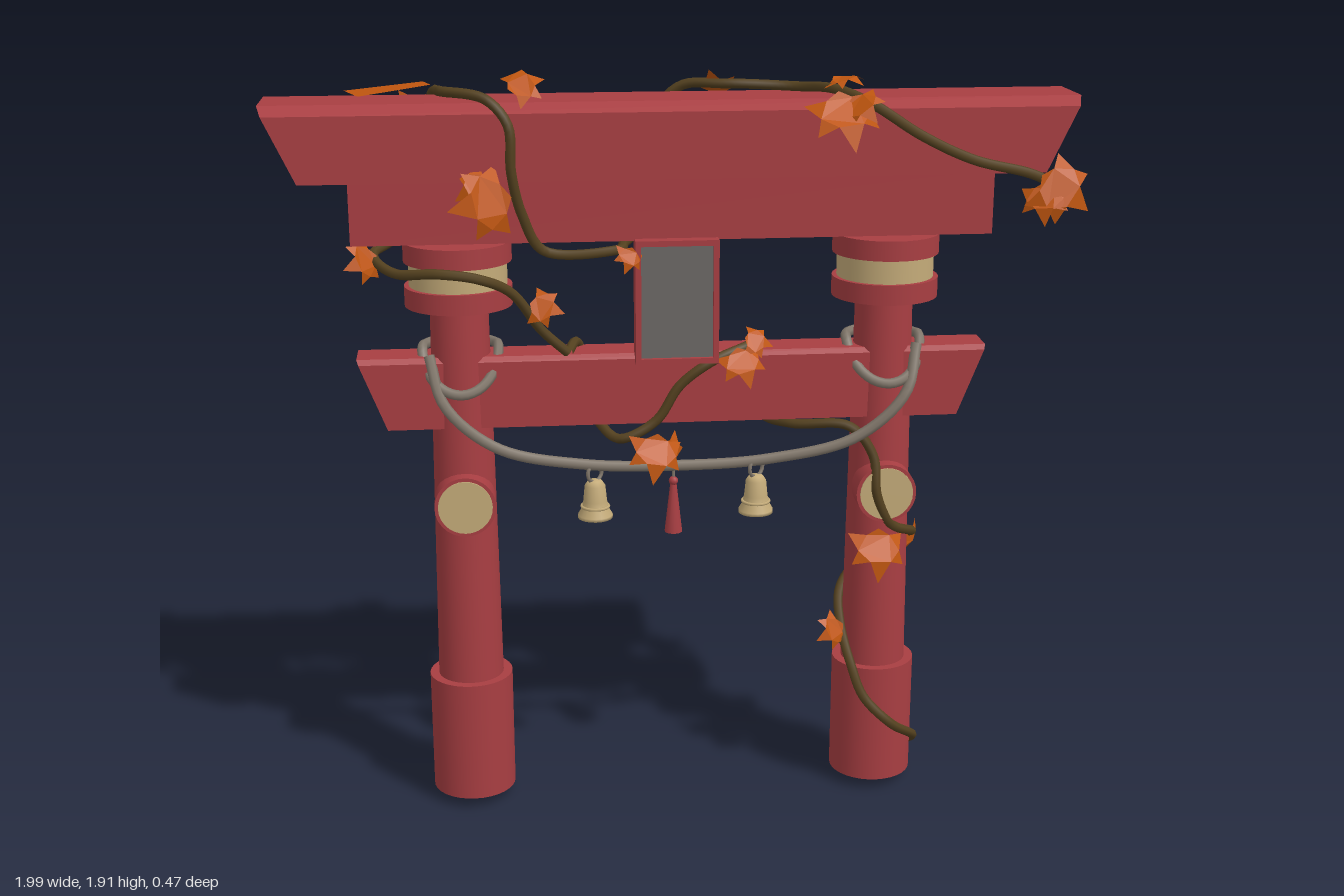
import * as THREE from 'three';

const CX = -0.0175, CZ = 0.0125; // centre of the timber frame
const mat = (name, color, side = THREE.FrontSide) => {
  const m = new THREE.MeshStandardMaterial({ color, side });
  m.name = name;
  return m;
};

export function createModel() {
  const red = mat('red lacquer', 0xa83e42);
  const gold = mat('pale gold', 0xc4ab79);
  const grey = mat('grey slate', 0x6c6866);
  const ropeMat = mat('grey rope', 0x80766a);
  const bark = mat('vine bark', 0x54411f);
  const orange = mat('autumn leaf', 0xc0560f, THREE.DoubleSide);

  const root = new THREE.Group();
  root.name = 'gateway';
  const add = (name, geo, material, x = 0, y = 0, z = 0, parent = root) => {
    const m = new THREE.Mesh(geo, material);
    m.name = name;
    m.position.set(x, y, z);
    parent.add(m);
    return m;
  };
  const V = p => new THREE.Vector3(...p);
  const tube = (name, pts, r, material, segs, closed = false) =>
    add(name, new THREE.TubeGeometry(new THREE.CatmullRomCurve3(pts.map(V), closed), segs, r, 7, closed), material);

  // Beam along x: chamfered cross-section, ends slanting from bottom to top half-length
  function beam(name, y0, y1, halfZ, bottomX, topX, cz, cy) {
    const s = new THREE.Shape([
      [-halfZ, y0], [halfZ, y0], [halfZ, y1 - cy], [halfZ - cz, y1], [cz - halfZ, y1], [-halfZ, y1 - cy],
    ].map(p => new THREE.Vector2(...p)));
    const g = new THREE.ExtrudeGeometry(s, { depth: 2, bevelEnabled: false });
    g.translate(0, 0, -1).rotateY(Math.PI / 2);
    const p = g.attributes.position;
    for (let i = 0; i < p.count; i++) {
      const t = (p.getY(i) - y0) / (y1 - y0);
      p.setX(i, p.getX(i) * THREE.MathUtils.lerp(bottomX, topX, t));
    }
    g.computeVertexNormals();
    add(name, g, red, CX, 0, CZ);
  }
  beam('topBeam', 1.655, 1.837, 0.118, 0.9, 0.985, 0.035, 0.022);
  beam('upperTieBeam', 1.495, 1.655, 0.06, 0.787, 0.787, 0.001, 0.001);
  beam('lowerTieBeam', 1.03, 1.21, 0.06, 0.717, 0.787, 0.012, 0.012);

  // Columns with base, capital rings, medallion and rope loop
  for (const side of [-1, 1]) {
    const x = CX + side * 0.5325;
    const cyl = (name, rTop, rBottom, y0, y1, m) =>
      add(name, new THREE.CylinderGeometry(rTop, rBottom, y1 - y0, 32), m, x, (y0 + y1) / 2, CZ);
    cyl('columnBase', 0.107, 0.107, 0.03, 0.35, red);
    cyl('columnShaft', 0.072, 0.084, 0.35, 1.34, red);
    cyl('capitalLowerRing', 0.133, 0.133, 1.335, 1.385, red);
    cyl('capitalBand', 0.121, 0.121, 1.385, 1.445, gold);
    cyl('capitalUpperRing', 0.133, 0.133, 1.445, 1.495, red);

    const disc = (name, r, depth, z, m) =>
      add(name, new THREE.CylinderGeometry(r, r, depth, 28).rotateX(Math.PI / 2), m, x, 0.84, z);
    disc('medallionRim', 0.077, 0.07, 0.09, red);
    disc('medallionFace', 0.068, 0.008, 0.125, gold);

    const loop = [];
    for (let i = 0; i < 16; i++) {
      const a = (i / 16) * Math.PI * 2, c = Math.cos(a);
      loop.push([x + 0.094 * Math.sin(a), 1.225 - 0.1 * Math.max(0, c), CZ + 0.094 * c]);
    }
    tube('columnRopeLoop', loop, 0.013, ropeMat, 48, true);
  }

  // Hanging rope
  const half = [[0.61, 1.215, 0.06], [0.575, 1.1, 0.112], [0.45, 0.99, 0.118], [0.235, 0.937, 0.105]];
  tube('hangingRope', [
    ...half.map(([x, y, z]) => [CX - x, y, z]), [CX, 0.925, 0.1],
    ...half.map(([x, y, z]) => [CX + x, y, z]).reverse(),
  ], 0.014, ropeMat, 64);

  // Bells on rings
  const bellProfile = [[0, 0.1], [0.017, 0.098], [0.026, 0.085], [0.03, 0.045], [0.034, 0.025],
    [0.044, 0.008], [0.044, 0], [0.036, 0], [0, 0.03]].reverse().map(p => new THREE.Vector2(...p));
  for (const x of [-0.225, 0.183]) {
    const bell = new THREE.Group();
    bell.name = 'bell';
    bell.position.set(x, 0.795, 0.1);
    root.add(bell);
    add('bellBody', new THREE.LatheGeometry(bellProfile, 20), gold, 0, 0, 0, bell);
    add('bellBand', new THREE.TorusGeometry(0.034, 0.004, 6, 20).rotateX(Math.PI / 2), gold, 0, 0.03, 0, bell);
    add('bellClapper', new THREE.SphereGeometry(0.012, 10, 8), gold, 0, 0.003, 0, bell);
    add('bellRing', new THREE.TorusGeometry(0.024, 0.005, 6, 16).rotateY(0.7), ropeMat, 0, 0.118, 0, bell);
  }
  // Tassel
  add('tasselCord', new THREE.CylinderGeometry(0.004, 0.004, 0.05, 6), ropeMat, -0.027, 0.91, 0.1);
  add('tasselKnot', new THREE.SphereGeometry(0.012, 10, 8), red, -0.027, 0.885, 0.1);
  add('tasselSkirt', new THREE.CylinderGeometry(0.008, 0.023, 0.13, 10), red, -0.027, 0.815, 0.1);

  // Framed sign hanging between the tie beams
  const sx = -0.017, sy = 1.345, sz = 0.07;
  add('signBoard', new THREE.BoxGeometry(0.2, 0.305, 0.04), red, sx, sy, sz);
  add('signPanel', new THREE.BoxGeometry(0.178, 0.283, 0.006), grey, sx, sy, sz + 0.021);
  for (const s of [-1, 1]) {
    add('signFrameSide', new THREE.BoxGeometry(0.014, 0.31, 0.06), red, sx + s * 0.096, sy, sz + 0.006);
    add('signFrameRail', new THREE.BoxGeometry(0.2, 0.014, 0.06), red, sx, sy + s * 0.148, sz + 0.006);
  }

  // Vine over the top beam, around the left capital and down to the lower beam
  tube('upperVine', [
    [0.92, 1.62, 0.14], [0.84, 1.655, 0.142], [0.7, 1.69, 0.142], [0.57, 1.75, 0.142], [0.45, 1.825, 0.13],
    [0.37, 1.855, 0.06], [0.29, 1.85, -0.04], [0.12, 1.855, -0.07], [0.01, 1.845, -0.11],
    [-0.06, 1.76, -0.125], [-0.09, 1.62, -0.12], [-0.11, 1.49, -0.07], [-0.14, 1.475, 0.0],
    [-0.16, 1.475, 0.08], [-0.34, 1.48, 0.1], [-0.39, 1.57, 0.12], [-0.415, 1.68, 0.143],
    [-0.42, 1.79, 0.143], [-0.47, 1.848, 0.12], [-0.57, 1.86, 0.06], [-0.58, 1.85, -0.03],
    [-0.6, 1.835, -0.11], [-0.62, 1.74, -0.125], [-0.65, 1.62, -0.12], [-0.7, 1.49, -0.08],
    [-0.755, 1.46, 0.0], [-0.7, 1.43, 0.09], [-0.6, 1.44, 0.15], [-0.5, 1.425, 0.15],
    [-0.42, 1.38, 0.11], [-0.35, 1.28, 0.08], [-0.285, 1.215, 0.06],
  ], 0.0125, bark, 220);

  // Vine around the lower beam and down the left column
  tube('lowerVine', [
    [-0.285, 1.215, 0.06], [-0.26, 1.222, -0.02], [-0.24, 1.16, -0.062], [-0.22, 1.04, -0.06],
    [-0.2, 1.012, 0.03], [-0.16, 0.995, 0.085], [-0.07, 1.04, 0.088], [-0.01, 1.13, 0.088],
    [0.07, 1.19, 0.088], [0.17, 1.222, 0.05], [0.2, 1.218, -0.04], [0.21, 1.12, -0.062],
    [0.21, 1.02, -0.04], [0.28, 1.012, 0.05], [0.42, 1.015, 0.1], [0.48, 0.94, 0.115],
    [0.49, 0.84, 0.13], [0.53, 0.755, 0.115], [0.595, 0.715, 0.06], [0.607, 0.68, -0.02],
    [0.56, 0.62, -0.08], [0.48, 0.57, -0.08], [0.425, 0.525, -0.01], [0.42, 0.45, 0.05],
    [0.44, 0.36, 0.105], [0.47, 0.28, 0.128], [0.545, 0.2, 0.13], [0.61, 0.145, 0.08],
    [0.63, 0.1, 0.01], [0.6, 0.04, -0.08], [0.53, 0.013, -0.12],
  ], 0.0125, bark, 220);

  // Folded, lobed leaf one unit long, hanging from its stem
  const leafShape = new THREE.Shape([
    [0, 0], [0.22, -0.12], [0.52, -0.1], [0.4, -0.4], [0.5, -0.66], [0.2, -0.6], [0, -1],
    [-0.2, -0.6], [-0.5, -0.66], [-0.4, -0.4], [-0.52, -0.1], [-0.22, -0.12],
  ].map(p => new THREE.Vector2(...p)));
  const leafGeo = new THREE.ShapeGeometry(leafShape);
  const lp = leafGeo.attributes.position;
  for (let i = 0; i < lp.count; i++) {
    lp.setZ(i, 0.12 - 0.5 * Math.abs(lp.getX(i)) + 0.25 * Math.sin(-lp.getY(i) * 3));
  }
  const foldedLeaf = leafGeo.toNonIndexed();
  foldedLeaf.computeVertexNormals();

  // x, y, z, size, rotations about x, y, z
  for (const [x, y, z, s, rx, ry, rz] of [
    [-0.42, 1.86, 0.1, 0.1, -0.9, 0.3, 1.8],
    [-0.62, 1.84, -0.12, 0.12, 0.5, 0.4, -0.2],
    [-0.42, 1.62, 0.14, 0.16, -0.2, 0.2, -1.4],
    [-0.46, 1.66, 0.14, 0.1, -0.3, -0.3, -1.0],
    [-0.75, 1.46, 0.02, 0.1, -0.3, 0.5, -1.3],
    [-0.38, 1.35, 0.1, 0.09, -0.4, 0.2, 1.2],
    [-0.13, 1.485, 0.1, 0.07, -0.2, 0.3, -0.4],
    [0.05, 1.86, -0.11, 0.12, 1.2, 0.3, 1.6],
    [0.36, 1.85, 0.12, 0.16, -0.5, 0.2, 0.1],
    [0.4, 1.84, 0.13, 0.1, -0.6, -0.4, 0.8],
    [0.37, 1.87, 0.02, 0.09, -1.3, 0.2, 0.6],
    [0.86, 1.65, 0.14, 0.15, -0.2, 0.2, 0.9],
    [0.88, 1.63, 0.13, 0.11, -0.3, -0.4, 0.1],
    [0.13, 1.22, 0.08, 0.11, -0.4, 0.2, 0.2],
    [0.15, 1.24, 0.07, 0.08, -0.6, 0.5, 1.1],
    [-0.07, 1.01, 0.1, 0.13, -0.3, 0.2, -0.2],
    [-0.06, 0.99, 0.09, 0.1, 0.3, 0.6, 0.5],
    [0.49, 0.75, 0.13, 0.14, -0.25, 0.2, -0.1],
    [0.6, 0.71, 0.0, 0.09, 0.4, 0.8, 0.2],
    [0.42, 0.46, 0.06, 0.09, -0.3, 0.3, -1.2],
  ]) {
    const leaf = add('leaf', foldedLeaf, orange, x, y, z);
    leaf.scale.setScalar(s);
    leaf.rotation.set(rx, ry, rz, 'YXZ');
  }

  // Two broad flat leaves: one on the top beam, one hanging behind it
  const broad = (name, pts) => {
    const g = new THREE.BufferGeometry();
    g.setAttribute('position', new THREE.Float32BufferAttribute(pts.flat(), 3));
    g.setIndex([0, 1, 2, 0, 2, 3]);
    g.computeVertexNormals();
    add(name, g, orange);
  };
  broad('broadLeafTop', [[-0.81, 1.85, -0.06], [-0.77, 1.85, 0.055], [-0.6, 1.868, -0.01], [-0.62, 1.868, -0.075]]);
  broad('broadLeafBack', [[-0.07, 1.58, -0.145], [-0.04, 1.56, -0.17], [-0.07, 1.42, -0.255], [-0.17, 1.45, -0.22]]);

  return root;
}
